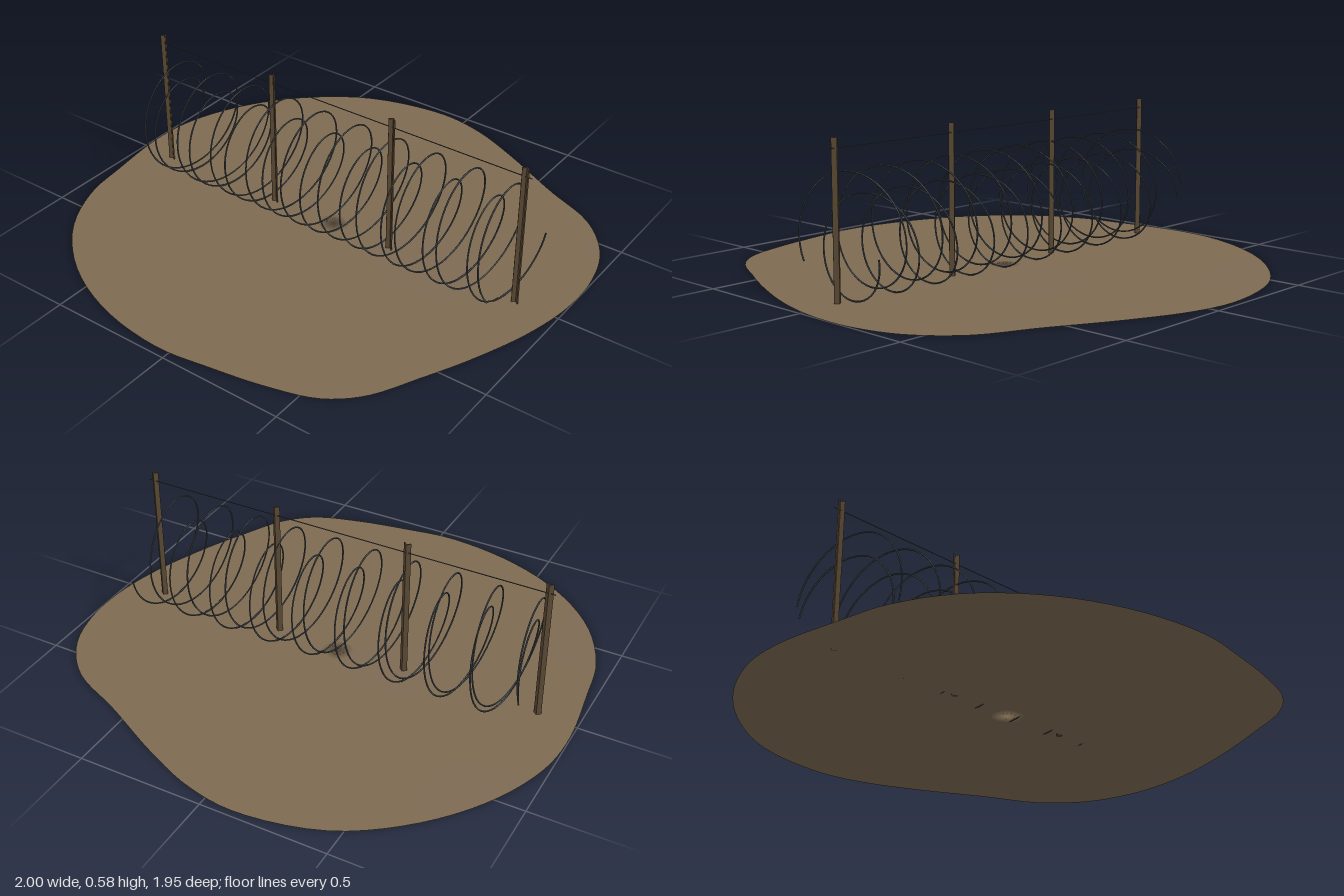
import * as THREE from 'three';

const ground = new THREE.MeshStandardMaterial({ name: 'dry earth', color: 0x7d6a52, side: THREE.DoubleSide });
const rust = new THREE.MeshStandardMaterial({ name: 'weathered post', color: 0x5e4c36 });
const steel = new THREE.MeshStandardMaterial({ name: 'dark wire', color: 0x4a5054 });

function add(parent, name, geometry, material) {
  const mesh = new THREE.Mesh(geometry, material);
  mesh.name = name;
  parent.add(mesh);
  return mesh;
}

// Helix along x: starts at the back, goes over the top, then down the front
class Coil extends THREE.Curve {
  constructor(x0, pitch, turns, cy, cz, ry, rz) {
    super();
    Object.assign(this, { x0, pitch, turns, cy, cz, ry, rz });
  }
  getPoint(t, target = new THREE.Vector3()) {
    const n = t * this.turns, a = n * Math.PI * 2;
    const wobble = 1 + 0.012 * Math.sin(a * 1.37); // hand-bent unevenness
    return target.set(
      this.x0 + n * this.pitch,
      this.cy + Math.sin(a) * this.ry,
      this.cz - Math.cos(a) * this.rz * wobble);
  }
}

// Sheet of rings shrinking from the outline to the middle, barely domed and uneven
function sheet(edge, rings) {
  const positions = [], index = [], count = edge.length;
  for (let r = 0; r <= rings; r++) {
    const s = r / rings;
    for (const p of edge) {
      const x = p.x * s, z = p.z * s;
      positions.push(x, 0.006 - 0.003 * s + 0.001 * Math.sin(x * 5 + 1) * Math.cos(z * 6), z);
    }
  }
  for (let r = 0; r < rings; r++) {
    for (let i = 0; i < count; i++) {
      const j = (i + 1) % count;
      const a = r * count + i, b = r * count + j, c = a + count, d = b + count;
      if (r > 0) index.push(a, b, d);
      index.push(a, d, c);
    }
  }
  const geometry = new THREE.BufferGeometry();
  geometry.setAttribute('position', new THREE.Float32BufferAttribute(positions, 3));
  geometry.setIndex(index);
  geometry.computeVertexNormals();
  // The coincident middle points share an upright normal
  for (let i = 0; i < count; i++) geometry.attributes.normal.setXYZ(i, 0, 1, 0);
  return geometry;
}

export function createModel() {
  const model = new THREE.Group();
  model.name = 'wireFence';

  // Irregular patch of earth, outline as (x, z), running anticlockwise from above
  const outline = [
    [-0.13, -0.975], [0.08, -0.945], [0.3, -0.855], [0.57, -0.715], [0.8, -0.605], [0.935, -0.45],
    [0.992, -0.27], [0.997, -0.08], [0.957, 0.13], [0.87, 0.37], [0.78, 0.56], [0.68, 0.745],
    [0.565, 0.845], [0.38, 0.905], [0.16, 0.945], [-0.05, 0.97], [-0.345, 0.925], [-0.61, 0.805],
    [-0.815, 0.62], [-0.93, 0.4], [-0.965, 0.2], [-0.997, -0.08], [-0.975, -0.28],
    [-0.87, -0.52], [-0.69, -0.74], [-0.45, -0.905],
  ].map(([x, z]) => new THREE.Vector3(x, 0, z)).reverse();
  const edge = new THREE.CatmullRomCurve3(outline, true).getPoints(120).slice(0, -1);
  add(model, 'groundPatch', sheet(edge, 16), ground);

  // Angle-iron posts, with the ridge to the back
  const section = new THREE.Shape([
    [0, 0.008], [-0.015, -0.005], [-0.012, -0.009], [0, 0.002], [0.012, -0.009], [0.015, -0.005],
  ].map(([x, y]) => new THREE.Vector2(x, y)));
  const postGeometry = new THREE.ExtrudeGeometry(section, { depth: 0.58, bevelEnabled: false });
  postGeometry.rotateX(-Math.PI / 2);
  for (let i = 0; i < 4; i++) {
    add(model, 'post' + (i + 1), postGeometry, rust).position.set(-0.839 + i * 0.555, 0.003, 0.007);
  }

  // Two interleaved coils
  const large = new Coil(-0.835, 0.172, 9.6, 0.245, 0.015, 0.213, 0.232);
  const small = new Coil(-0.835, 0.184, 9, 0.19, 0, 0.184, 0.2);
  add(model, 'largeCoil', new THREE.TubeGeometry(large, 420, 0.0032, 6), steel);
  add(model, 'smallCoil', new THREE.TubeGeometry(small, 400, 0.0032, 6), steel);

  // Straight wire strung along the post tops
  const wire = add(model, 'topWire', new THREE.CylinderGeometry(0.0018, 0.0018, 1.715, 6), steel);
  wire.rotation.z = Math.PI / 2;
  wire.position.set(-0.007, 0.546, 0.006);

  return model;
}
